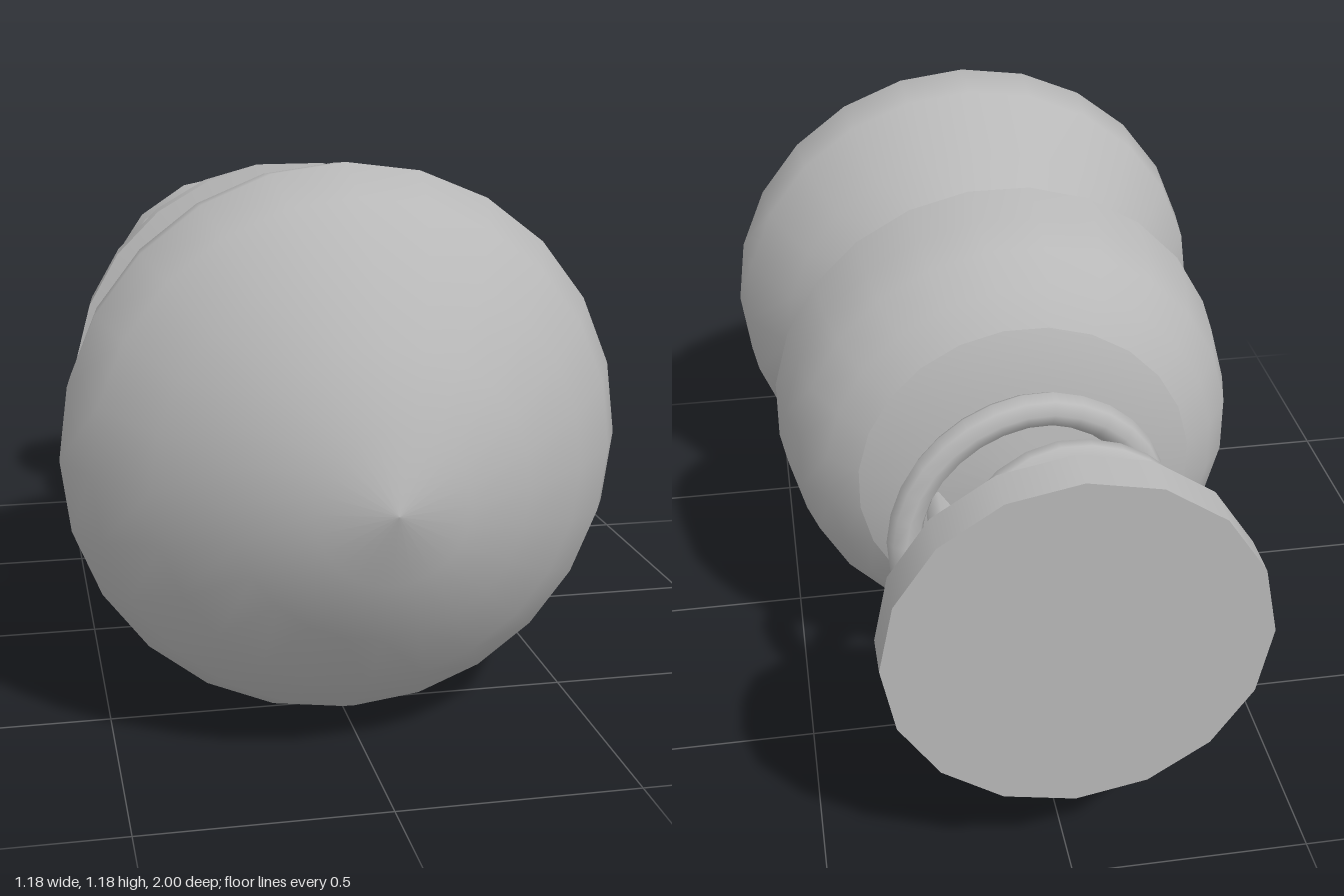
import * as THREE from 'three';

export function createModel() {
  const model = new THREE.Group();
  model.name = 'springBumper';
  const AXIS_Y = 0.595;
  const DEG = Math.PI / 180;
  const grey = new THREE.MeshStandardMaterial({ color: 0xb8b8b8, side: THREE.DoubleSide });
  grey.name = 'plainGrey';

  function add(name, geometry, parent = model) {
    const mesh = new THREE.Mesh(geometry, grey);
    mesh.name = name;
    parent.add(mesh);
    return mesh;
  }

  // Turned part along z: profile is [radius, z] from back to front, angle 0 points down
  function turned(name, profile, segments, parent, from = 0, sweep = 360) {
    const pts = profile.map(([r, z]) => new THREE.Vector2(r, z));
    const geo = new THREE.LatheGeometry(pts, segments, from * DEG, sweep * DEG);
    geo.rotateX(Math.PI / 2);
    geo.translate(0, AXIS_Y, 0);
    return add(name, geo, parent);
  }

  // Big rounded nose
  turned('nose', [
    [0.34, 0.08], [0.375, 0.15], [0.48, 0.27], [0.575, 0.41], [0.59, 0.53],
    [0.535, 0.645], [0.43, 0.77], [0.29, 0.88], [0.15, 0.96], [0, 1],
  ], 24);

  // Neck ring between nose and housing
  turned('neck', [[0.385, 0], [0.355, 0.075]], 24);
  turned('neckLip', [[0.355, 0.075], [0.335, 0.085]], 24);

  // Housing shell, with two windows either side of a rib underneath
  const housing = new THREE.Group();
  housing.name = 'housing';
  model.add(housing);
  const back = [[0, -0.475], [0.25, -0.447], [0.365, -0.4]];
  const side = [[0.365, -0.4], [0.43, -0.35], [0.485, -0.27], [0.51, -0.17], [0.525, -0.045]];
  turned('housingBack', back, 24, housing, 7.5);
  turned('housingShell', side, 19, housing, 37.5, 285);
  turned('housingRib', side, 1, housing, -7.5, 15);
  turned('housingStep', [[0.525, -0.045], [0.385, 0]], 19, housing, 37.5, 285);
  turned('ribStep', [[0.525, -0.045], [0.385, 0]], 1, housing, -7.5, 15);

  // Recessed rim in front of each window
  for (const start of [7.5, -37.5]) {
    turned('windowRim', [[0.485, -0.16], [0.497, -0.045]], 2, housing, start, 30);
    turned('windowStep', [[0.497, -0.045], [0.385, 0]], 2, housing, start, 30);
  }

  // Thin walls along the window edges
  const inner = side.map(([r, z]) => [r - 0.03, z]).reverse();
  const wallShape = new THREE.Shape([...side, ...inner].map(([r, z]) => new THREE.Vector2(r, z)));
  for (const angle of [-37.5, -7.5, 7.5, 37.5]) {
    const geo = new THREE.ShapeGeometry(wallShape);
    geo.rotateY(angle * DEG - Math.PI / 2);
    geo.rotateX(Math.PI / 2);
    geo.translate(0, AXIS_Y, 0);
    add('windowWall', geo, housing);
  }

  // Uneven spring: [coil radius, z] for each quarter turn, right, bottom, left, top
  const quarters = [
    [0.2, -0.42], [0.215, -0.52], [0.24, -0.55], [0.272, -0.57],
    [0.29, -0.615], [0.285, -0.66], [0.29, -0.69], [0.228, -0.695],
    [0.175, -0.76], [0.15, -0.81], [0.13, -0.83], [0.145, -0.83], [0.12, -0.845],
  ];
  const path = [];
  const steps = 3;
  for (let i = 0; i <= (quarters.length - 1) * steps; i++) {
    const k = Math.min(Math.floor(i / steps), quarters.length - 2);
    const t = i / steps - k;
    const r = THREE.MathUtils.lerp(quarters[k][0], quarters[k + 1][0], t);
    const z = THREE.MathUtils.lerp(quarters[k][1], quarters[k + 1][1], t);
    const a = (i / steps) * Math.PI / 2;
    path.push(new THREE.Vector3(r * Math.cos(a), AXIS_Y - r * Math.sin(a), z));
  }
  add('spring', new THREE.TubeGeometry(new THREE.CatmullRomCurve3(path), 72, 0.036, 8));

  // Round base plate with a stepped front
  const base = new THREE.Group();
  base.name = 'basePlate';
  model.add(base);
  turned('baseBack', [[0, -1], [0.38, -1]], 16, base);
  turned('baseRim', [[0.38, -1], [0.38, -0.907]], 16, base);
  turned('baseShoulder', [[0.38, -0.907], [0.325, -0.893]], 16, base);
  turned('baseBoss', [[0.325, -0.893], [0.305, -0.858]], 16, base);
  turned('baseFront', [[0.305, -0.858], [0, -0.858]], 16, base);

  return model;
}
